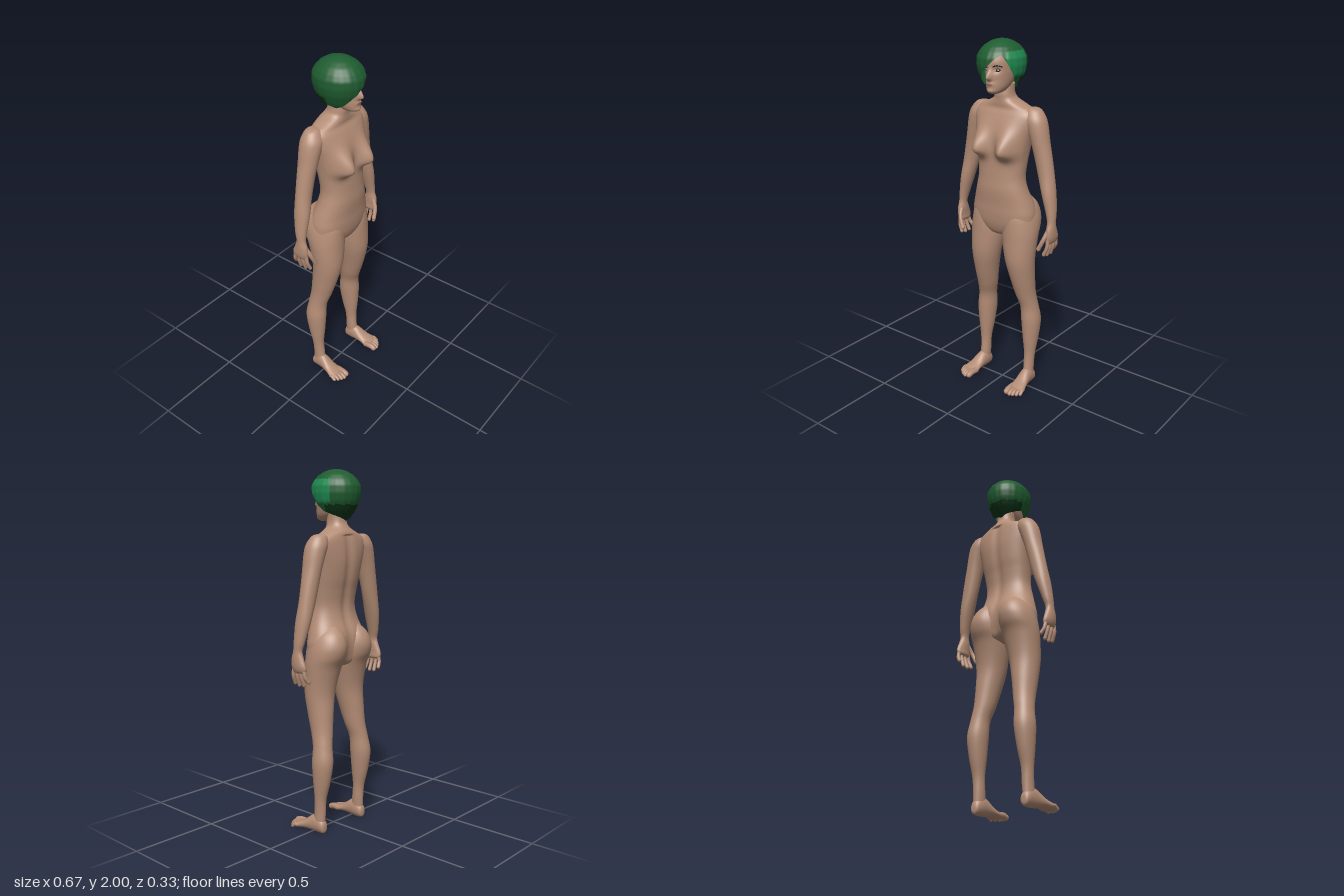
import * as THREE from 'three';
import { mergeGeometries } from 'three/addons/utils/BufferGeometryUtils.js';

const mat = (name, color, side = THREE.FrontSide) => {
  const m = new THREE.MeshStandardMaterial({ color, side });
  m.name = name;
  return m;
};
const skin = mat('skin', 0xb48d76);
const hairGreen = mat('hair green', 0x1f5c30, THREE.DoubleSide);
const hairDark = mat('dark undercut green', 0x0c3417, THREE.DoubleSide);
const hairBright = mat('bright streak green', 0x1f8850, THREE.DoubleSide);
const eyeDark = mat('eye dark', 0x1e1614);
const eyeWhite = mat('eye white', 0xcfc4bc);
const lip = mat('lip', 0x9a6a5c);

const bell = (d, s) => Math.exp(-(d * d) / (s * s));
const add = (parent, name, geo, material) => {
  const m = new THREE.Mesh(geo, material);
  m.name = name;
  parent.add(m);
  return m;
};

// Smooth interpolation through a list of number rows
function sample(rows, t) {
  const f = t * (rows.length - 1), i = Math.min(Math.floor(f), rows.length - 2), u = f - i;
  const at = k => rows[Math.max(0, Math.min(rows.length - 1, k))];
  const [a, b, c, d] = [at(i - 1), at(i), at(i + 1), at(i + 2)];
  return b.map((_, k) => b[k] + 0.5 * u * (c[k] - a[k] + u * (2 * a[k] - 5 * b[k] + 4 * c[k] - d[k]
    + u * (3 * (b[k] - c[k]) + d[k] - a[k]))));
}

// Closed skin over oval sections [s, x inner, x outer, front/top, back/bottom]; s runs along y, or z if alongZ
function loft(rows, { side = 1, alongZ = false, seg = 40, sub = 5, n = 2, shape = null } = {}) {
  const steps = (rows.length - 1) * sub, pos = [], index = [], v = new THREE.Vector3();
  const put = (x, s, d) => {
    if (alongZ) v.set(x * side, d, s); else v.set(x * side, s, d);
    if (shape) shape(v);
    pos.push(v.x, v.y, v.z);
  };
  const pow = c => Math.sign(c) * Math.abs(c) ** (2 / n);
  for (let i = 0; i <= steps; i++) {
    const [s, x0, x1, f, b] = sample(rows, i / steps);
    for (let j = 0; j < seg; j++) {
      const a = j / seg * Math.PI * 2;
      put((x0 + x1) / 2 + (x1 - x0) / 2 * pow(Math.cos(a)), s, (f + b) / 2 + (f - b) / 2 * pow(Math.sin(a)));
    }
  }
  for (const r of [rows[0], rows[rows.length - 1]]) put((r[1] + r[2]) / 2, r[0], (r[3] + r[4]) / 2);
  const flip = (rows[0][0] > rows[rows.length - 1][0]) !== alongZ !== (side < 0);
  const tri = (a, b, c) => flip ? index.push(a, c, b) : index.push(a, b, c);
  const low = (steps + 1) * seg, last = steps * seg;
  for (let j = 0; j < seg; j++) {
    const k = (j + 1) % seg;
    for (let i = 0; i < steps; i++) {
      const p = i * seg;
      tri(p + j, p + seg + j, p + k);
      tri(p + k, p + seg + j, p + seg + k);
    }
    tri(low, j, k);
    tri(low + 1, last + k, last + j);
  }
  const g = new THREE.BufferGeometry();
  g.setAttribute('position', new THREE.Float32BufferAttribute(pos, 3));
  g.setIndex(index);
  g.computeVertexNormals();
  return g;
}

// Round-ended digit along a few points
function digit(points, r, side) {
  const pts = points.map(p => new THREE.Vector3(p[0] * side, p[1], p[2]));
  const end = pts[pts.length - 1];
  const tip = new THREE.SphereGeometry(r, 12, 8).translate(end.x, end.y, end.z);
  return mergeGeometries([new THREE.TubeGeometry(new THREE.CatmullRomCurve3(pts), 8, r, 12), tip]);
}

const symmetric = rows => rows.map(([y, r, f, b]) => [y, -r, r, f, b]);

const torsoRows = symmetric([
  [0.925, 0.02, 0.02, -0.05], [0.95, 0.1, 0.06, -0.1], [1.0, 0.185, 0.08, -0.12], [1.06, 0.197, 0.088, -0.13],
  [1.12, 0.184, 0.09, -0.125], [1.2, 0.157, 0.095, -0.095], [1.27, 0.142, 0.09, -0.085], [1.35, 0.147, 0.085, -0.095],
  [1.42, 0.156, 0.083, -0.11], [1.5, 0.17, 0.08, -0.12], [1.56, 0.185, 0.065, -0.12], [1.61, 0.192, 0.045, -0.115],
  [1.64, 0.17, 0.03, -0.11], [1.665, 0.115, 0.03, -0.105], [1.69, 0.066, 0.03, -0.09], [1.72, 0.052, 0.03, -0.075],
  [1.77, 0.05, 0.02, -0.07]]);

const legRows = [
  [1.17, 0.05, 0.12, 0.02, -0.09], [1.12, 0.018, 0.172, 0.055, -0.14], [1.06, 0.004, 0.198, 0.072, -0.162],
  [1.0, 0.002, 0.208, 0.078, -0.153], [0.93, 0.006, 0.21, 0.08, -0.12], [0.8, 0.033, 0.203, 0.08, -0.092],
  [0.68, 0.06, 0.197, 0.055, -0.095], [0.58, 0.08, 0.195, 0.025, -0.102], [0.5, 0.1, 0.203, 0, -0.113],
  [0.41, 0.105, 0.215, -0.002, -0.126], [0.3, 0.117, 0.207, -0.008, -0.11], [0.2, 0.13, 0.195, -0.016, -0.085],
  [0.12, 0.132, 0.19, -0.01, -0.08], [0.05, 0.136, 0.19, 0.0, -0.078]];

const armRows = [
  [1.655, 0.15, 0.185, -0.03, -0.07], [1.642, 0.12, 0.214, -0.01, -0.09], [1.6, 0.12, 0.242, 0.012, -0.105],
  [1.55, 0.14, 0.256, 0.014, -0.105], [1.48, 0.165, 0.268, 0.008, -0.1], [1.4, 0.186, 0.285, 0, -0.095],
  [1.3, 0.212, 0.304, -0.003, -0.09], [1.2, 0.244, 0.32, 0.004, -0.085], [1.1, 0.276, 0.33, 0, -0.068],
  [1.05, 0.288, 0.331, 0, -0.056], [1.01, 0.288, 0.333, 0.012, -0.068], [0.97, 0.29, 0.332, 0.014, -0.084],
  [0.945, 0.29, 0.326, 0.008, -0.084], [0.932, 0.297, 0.318, 0, -0.07]];

const footRows = [
  [-0.086, 0.152, 0.174, 0.05, 0.02], [-0.076, 0.138, 0.188, 0.075, 0.004], [-0.04, 0.131, 0.194, 0.105, 0.001],
  [0, 0.13, 0.2, 0.098, 0.004], [0.05, 0.128, 0.212, 0.062, 0.008], [0.09, 0.124, 0.224, 0.044, 0.004],
  [0.115, 0.132, 0.22, 0.034, 0.006]];

const headRows = symmetric([
  [1.724, 0.015, 0.085, 0.05], [1.735, 0.037, 0.106, 0], [1.76, 0.055, 0.11, -0.04], [1.8, 0.067, 0.108, -0.08],
  [1.85, 0.074, 0.108, -0.1], [1.9, 0.075, 0.105, -0.11], [1.95, 0.06, 0.08, -0.09], [1.975, 0.03, 0.04, -0.05]]);

// Chest fullness, spine groove
function shapeTorso(v) {
  const dy = v.y - 1.425;
  if (v.z > 0) v.z += 0.075 * bell(Math.abs(v.x) - 0.085, 0.05) * bell(dy, dy < 0 ? 0.042 : 0.09);
  else if (v.y < 1.65) v.z += 0.012 * bell(v.x, 0.025);
}

// Nose, eye sockets, lips and chin
function shapeHead(v) {
  if (v.z < 0.03) return;
  const ax = Math.abs(v.x), dy = v.y - 1.81;
  v.z += 0.03 * bell(v.x, 0.014) * bell(dy, dy > 0 ? 0.035 : 0.012)
    - 0.01 * bell(ax - 0.033, 0.018) * bell(v.y - 1.85, 0.016)
    + 0.006 * bell(v.x, 0.024) * bell(v.y - 1.778, 0.012)
    + 0.006 * bell(v.x, 0.025) * bell(v.y - 1.742, 0.012);
}

// Bob with a swept fringe: hem height [azimuth, y] and fullness [y, scale]
const hem = [[-180, 1.725], [-120, 1.75], [-90, 1.77], [-62, 1.755], [-42, 1.775], [-25, 1.81], [0, 1.86], [22, 1.905],
  [40, 1.93], [50, 1.9], [62, 1.855], [76, 1.8], [90, 1.775], [120, 1.755], [180, 1.725]];
const fullness = [[1.72, 0.46], [1.78, 0.77], [1.83, 0.94], [1.87, 1], [1.91, 0.99], [1.94, 0.87], [1.965, 0.7],
  [1.985, 0.46], [1.995, 0.25], [2.0, 0]];
function lookup(table, x) {
  let i = 0;
  while (i < table.length - 2 && x > table[i + 1][0]) i++;
  const [a, b] = [table[i], table[i + 1]];
  return a[1] + (b[1] - a[1]) * (x - a[0]) / (b[0] - a[0]);
}

function hairGeometry() {
  const seg = 120, rows = 36, pos = [], lists = [[], [], []];
  const azimuth = j => -180 + 360 * j / seg;
  const height = (i, j) => 2 - (2 - lookup(hem, azimuth(j))) * (i / rows) ** 1.6;
  for (let i = 0; i <= rows; i++) for (let j = 0; j < seg; j++) {
    const a = azimuth(j) * Math.PI / 180, y = height(i, j);
    const r = lookup(fullness, y) * (1 + 0.008 * Math.sin(a * 20) * i / rows);
    pos.push(-0.01 + 0.126 * r * Math.sin(a), y, -0.008 + 0.143 * r * Math.cos(a));
  }
  for (let i = 0; i < rows; i++) for (let j = 0; j < seg; j++) {
    const az = azimuth(j), y = height(i + 0.5, j), k = (j + 1) % seg, p = i * seg, q = p + seg;
    const list = Math.abs(az) > 95 && y < 1.81 ? 1 : az > 48 && az < 112 && y > 1.82 && y < 1.945 ? 2 : 0;
    lists[list].push(p + j, q + j, p + k, p + k, q + j, q + k);
  }
  const g = new THREE.BufferGeometry();
  g.setAttribute('position', new THREE.Float32BufferAttribute(pos, 3));
  g.setIndex(lists.flat());
  let start = 0;
  lists.forEach((l, m) => { g.addGroup(start, l.length, m); start += l.length; });
  g.computeVertexNormals();
  return g;
}

export function createModel() {
  const model = new THREE.Group();
  model.name = 'standing figure';
  add(model, 'torso and neck', loft(torsoRows, { seg: 80, sub: 6, n: 2.25, shape: shapeTorso }), skin);
  add(model, 'head', loft(headRows, { seg: 96, sub: 9, shape: shapeHead }), skin);
  add(model, 'hair', hairGeometry(), [hairGreen, hairDark, hairBright]);
  add(model, 'mouth', new THREE.SphereGeometry(1, 16, 8).scale(0.021, 0.006, 0.005).translate(0, 1.778, 0.112), lip);

  for (const side of [1, -1]) {
    const tag = side > 0 ? 'left ' : 'right ';
    add(model, tag + 'leg', loft(legRows, { side }), skin);
    add(model, tag + 'foot', loft(footRows, { side, alongZ: true }), skin);
    add(model, tag + 'arm and palm', loft(armRows, { side }), skin);

    // Toes, from big to little
    [[0.141, 0.146, 0.017], [0.165, 0.152, 0.011], [0.183, 0.144, 0.011], [0.201, 0.132, 0.01], [0.217, 0.116, 0.01]]
      .forEach(([x, z, r], i) => add(model, tag + 'toe ' + (i + 1),
        digit([[x - 0.003, 0.025, 0.08], [x, 0.026, z - 0.02], [x + 0.001, r + 0.003, z]], r, side), skin));

    // Fingers and thumb
    [[0.003, 0.012, 0.873], [-0.022, -0.02, 0.864], [-0.047, -0.053, 0.866], [-0.07, -0.086, 0.886]]
      .forEach(([z0, z1, y], i) => add(model, tag + 'finger ' + (i + 1),
        digit([[0.309, 0.96, z0], [0.308, 0.915, (z0 + z1) / 2], [0.291, y, z1]], 0.0105, side), skin));
    add(model, tag + 'thumb', digit([[0.305, 1.01, -0.005], [0.292, 0.96, 0.02], [0.268, 0.905, 0.03]], 0.012, side), skin);

    // Eyes and brows
    const eye = (name, sx, sy, z, m) => add(model, tag + name,
      new THREE.SphereGeometry(1, 16, 10).scale(sx, sy, 0.007).rotateY(side * 0.35).translate(side * 0.034, 1.85, z), m);
    eye('lash line', 0.017, 0.0085, 0.0865, eyeDark);
    eye('eyeball', 0.014, 0.0055, 0.0885, eyeWhite);
    eye('iris', 0.0065, 0.006, 0.09, eyeDark);
    add(model, tag + 'brow', digit([[0.016, 1.867, 0.104], [0.036, 1.874, 0.095], [0.055, 1.868, 0.076]], 0.003, side), eyeDark);
  }
  return model;
}
